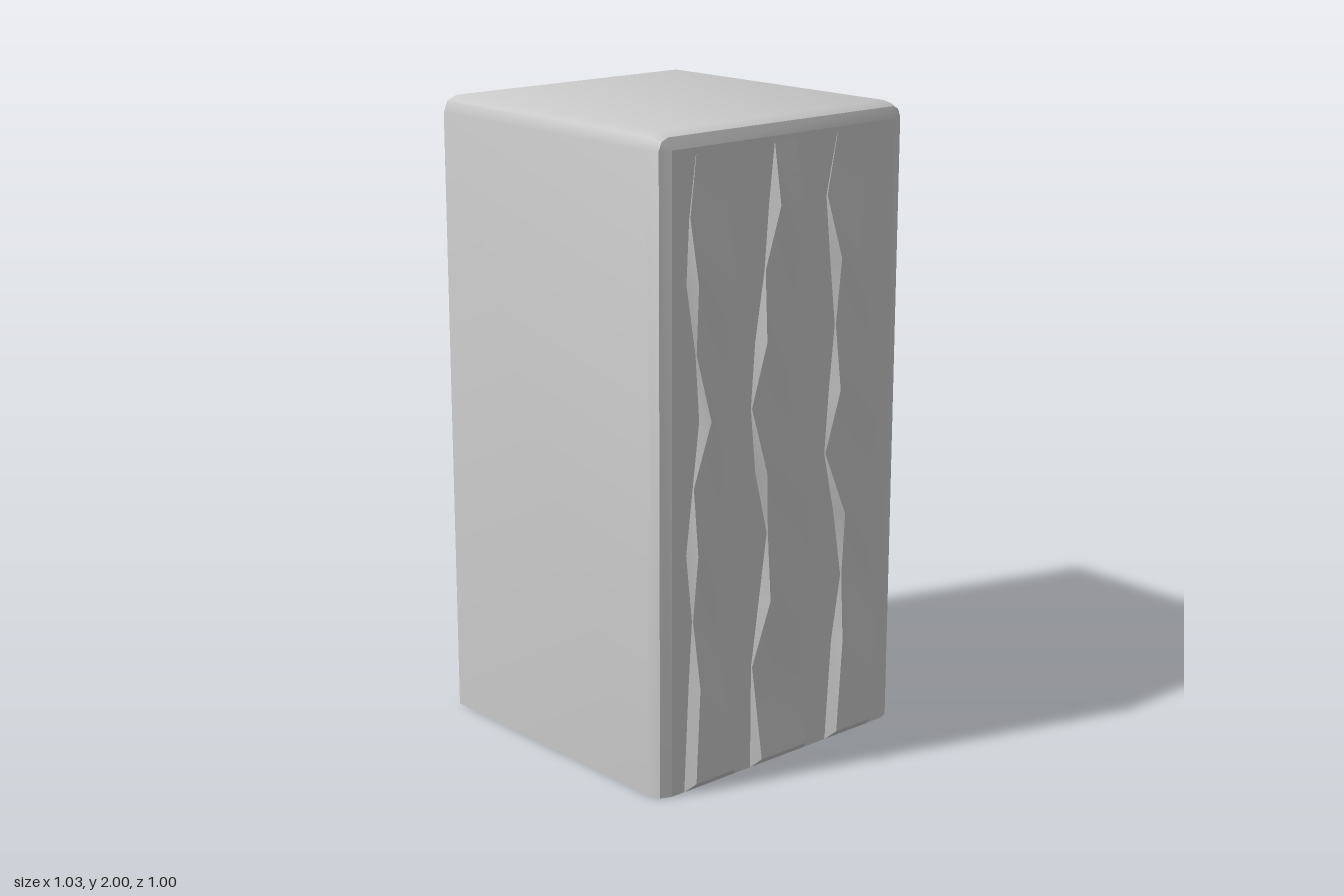
import * as THREE from 'three';
import { toCreasedNormals } from 'three/addons/utils/BufferGeometryUtils.js';

const material = new THREE.MeshStandardMaterial({ color: 0xcccccc, side: THREE.DoubleSide });
const R = 0.05;       // rounding of the shell edges
const FACE = 0.485;   // x of the flat carved side

// Skin a list of equally long cross-sections
function loft(sections, crease) {
  const n = sections[0].length, index = [];
  for (let s = 0; s < sections.length - 1; s++) {
    for (let i = 0; i < n - 1; i++) {
      const a = s * n + i, b = a + 1, c = a + n, d = c + 1;
      index.push(a, b, c, b, d, c);
    }
  }
  const geometry = new THREE.BufferGeometry();
  geometry.setAttribute('position', new THREE.Float32BufferAttribute(sections.flat(2), 3));
  geometry.setIndex(index);
  return toCreasedNormals(geometry, crease);
}

// Arch outline (wall, top, wall) at one x, shrunk by an inset
function arch(x, inset) {
  const r = R - inset, pts = [[x, 0, 0.5 - inset]];
  for (const side of [1, -1]) {
    for (let k = 0; k <= 2; k++) {
      const a = (side > 0 ? k : 2 - k) * Math.PI / 4;
      pts.push([x, 2 - R + r * Math.sin(a), side * (0.5 - R + r * Math.cos(a))]);
    }
  }
  pts.push([x, 0, -0.5 + inset]);
  return pts;
}

// Raised bark strip: base edge, raised edge, raised edge, base edge at each level
function ridge(levels, left, right, firstHigh) {
  const sections = [];
  levels.forEach((y, i) => {
    const last = i === levels.length - 1;
    const high = i === 0 || (i - firstHigh) % 2 === 0;
    const h = last ? 0.001 : high ? 0.03 : 0.003;
    const slope = h * 0.7;
    const row = (yy, hh, s) => [
      [FACE, yy, left[i]], [FACE + hh, yy, left[i] - s],
      [FACE + hh, yy, right[i] + s], [FACE, yy, right[i]],
    ];
    if (i === 0) {
      // sloped foot
      const foot = row(0, 0.0005, 0);
      sections.push(foot);
      const top = row(0.03, h, slope);
      sections.push(top);
    } else sections.push(row(y, h, slope));
  });
  return loft(sections, 0.5);
}

export function createModel() {
  const group = new THREE.Group();
  const add = (name, geometry) => {
    const mesh = new THREE.Mesh(geometry, material);
    mesh.name = name;
    group.add(mesh);
  };

  // Open shell: two walls and a top, rounded into the carved side
  const d = R * (1 - Math.SQRT1_2);
  add('shell', loft([
    arch(-0.515, 0), arch(FACE - R, 0), arch(FACE - d, d), arch(FACE, R),
  ], 0.6));

  // Flat carved side
  const panel = new THREE.PlaneGeometry(2 * (0.5 - R), 2 - R);
  panel.rotateY(Math.PI / 2).translate(FACE, (2 - R) / 2, 0);
  add('sidePanel', panel);

  // Wavy bark strips; raised and sunken levels alternate
  const levels = [0, 0.33, 0.54, 0.75, 0.95, 1.15, 1.35, 1.56, 1.75, 1.93];
  add('barkRidgeFront', ridge(levels,
    [0.4, 0.385, 0.372, 0.395, 0.37, 0.345, 0.36, 0.395, 0.385, 0.36],
    [0.2, 0.25, 0.275, 0.265, 0.255, 0.245, 0.235, 0.205, 0.235, 0.24], 1));
  add('barkRidgeMiddle', ridge(levels,
    [0.13, 0.13, 0.1, 0.07, 0.12, 0.14, 0.125, 0.09, 0.075, 0.055],
    [-0.1, -0.07, -0.09, -0.11, -0.085, -0.015, -0.015, -0.045, -0.06, -0.035], 2));
  add('barkRidgeBack', ridge(levels,
    [-0.195, -0.215, -0.25, -0.215, -0.17, -0.185, -0.205, -0.18, -0.16, -0.2],
    [-0.385, -0.405, -0.38, -0.355, -0.39, -0.405, -0.35, -0.305, -0.315, -0.34], 1));

  return group;
}
